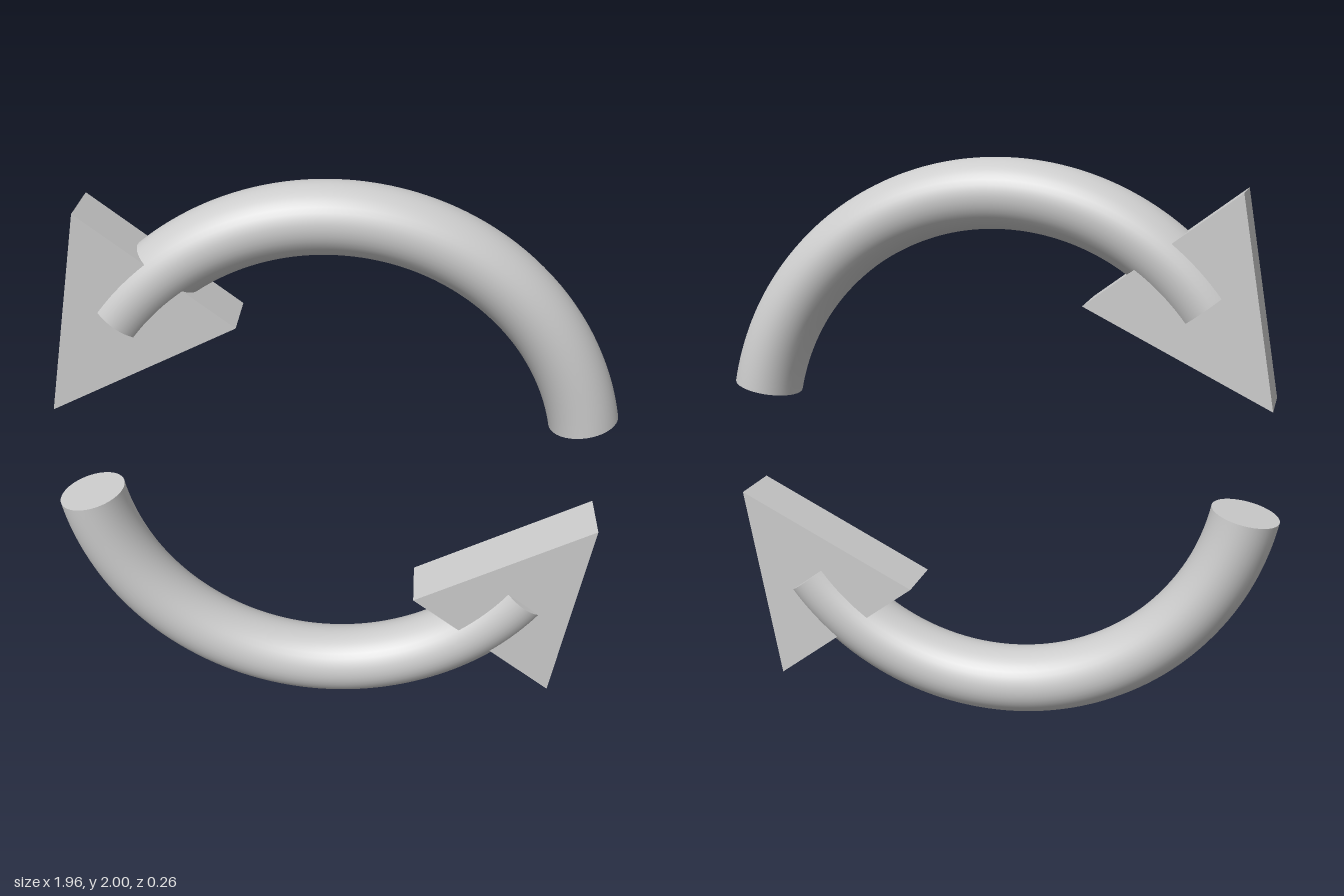
import * as THREE from 'three';

const RING = 0.8815;      // centre-line radius of the arc
const TUBE = 0.1185;      // radial half thickness
const DEPTH = 0.132;      // half thickness along z
const START = THREE.MathUtils.degToRad(11.5);
const END = THREE.MathUtils.degToRad(143);

const grey = new THREE.MeshStandardMaterial({ color: 0xcccccc });
grey.name = 'lightGrey';

function part(name, geometry) {
  const mesh = new THREE.Mesh(geometry, grey);
  mesh.name = name;
  return mesh;
}

// Flat oval disc closing the tube at a given angle; side is 1 for the start, -1 for the end
function endCap(name, angle, side) {
  const geometry = new THREE.CircleGeometry(TUBE, 40)
    .scale(1, DEPTH / TUBE, 1)
    .rotateX(side * Math.PI / 2)
    .translate(RING, 0, 0)
    .rotateZ(angle);
  return part(name, geometry);
}

// One curved arrow, drawn around the ring centre
function curvedArrow(name) {
  const arrow = new THREE.Group();
  arrow.name = name;

  // Oval-section shaft
  const shaft = new THREE.TorusGeometry(RING, TUBE, 40, 80, END - START)
    .rotateZ(START)
    .scale(1, 1, DEPTH / TUBE);
  arrow.add(part('shaft', shaft));
  arrow.add(endCap('tailCap', START, 1), endCap('noseCap', END, -1));

  // Triangular head, a straight prism
  const triangle = new THREE.Shape([
    new THREE.Vector2(-0.816, 0.91),
    new THREE.Vector2(-0.942, 0.21),
    new THREE.Vector2(-0.306, 0.53),
  ]);
  const thickness = 0.212;
  const head = new THREE.ExtrudeGeometry(triangle, { depth: thickness, bevelEnabled: false })
    .translate(0, 0, -thickness / 2);
  arrow.add(part('arrowHead', head));
  return arrow;
}

export function createModel() {
  const model = new THREE.Group();
  model.name = 'circularArrows';

  // Two identical arrows, half a turn apart
  ['upperArrow', 'lowerArrow'].forEach((name, i) => {
    const arrow = curvedArrow(name);
    arrow.position.y = 1;
    arrow.rotation.z = i * Math.PI;
    model.add(arrow);
  });
  return model;
}
